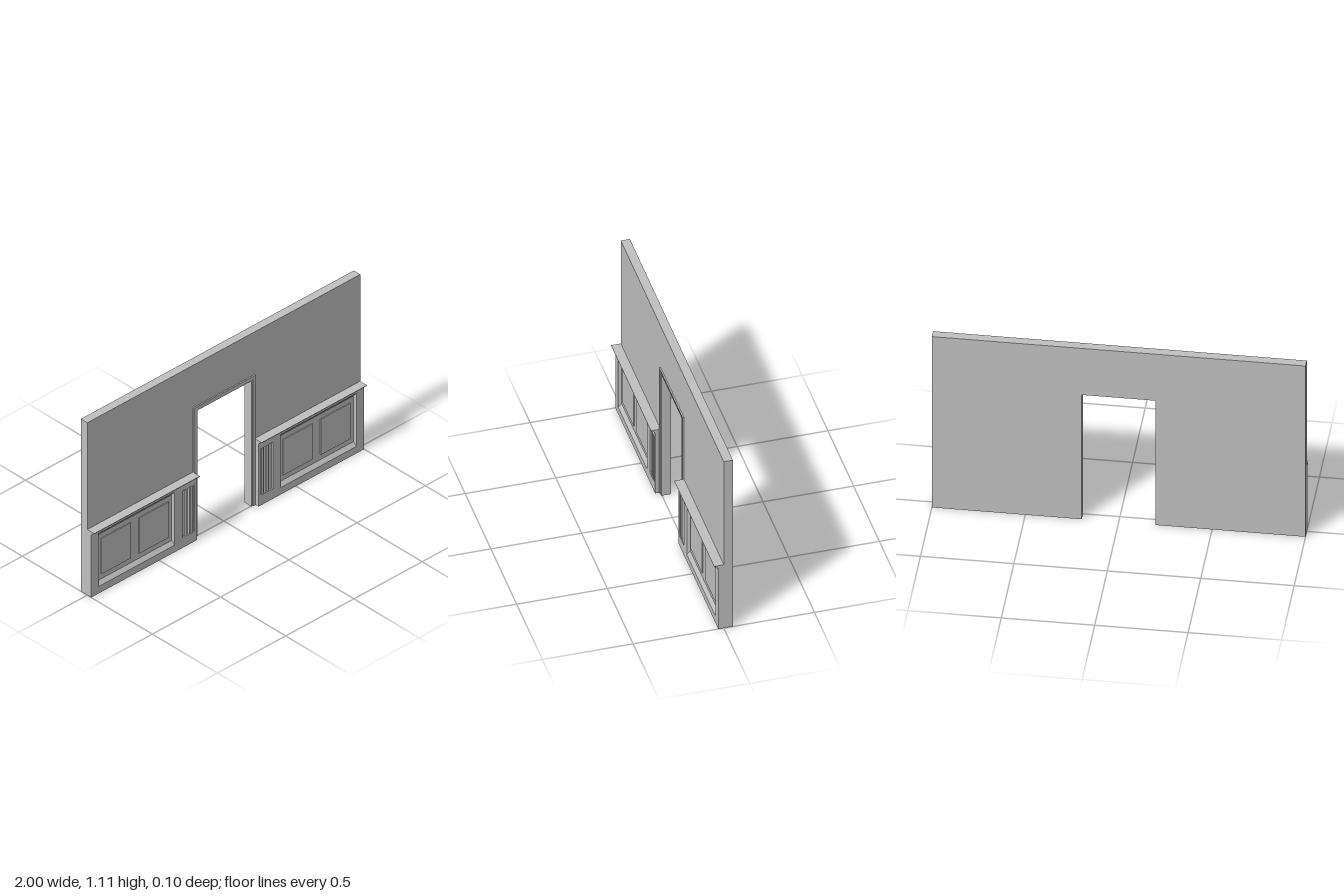
import * as THREE from 'three';

const plaster = new THREE.MeshStandardMaterial({ color: 0xc0c0c0 });
plaster.name = 'plaster grey';

function add(group, name, geometry) {
  const mesh = new THREE.Mesh(geometry, plaster);
  mesh.name = name;
  group.add(mesh);
}

// Box given by its limits on each axis
function block(x0, x1, y0, y1, z0, z1) {
  return new THREE.BoxGeometry(x1 - x0, y1 - y0, z1 - z0)
    .translate((x0 + x1) / 2, (y0 + y1) / 2, (z0 + z1) / 2);
}

const polygon = (points) => points.map(([x, y]) => new THREE.Vector2(x, y));
const rectangle = (x0, x1, y0, y1) => polygon([[x0, y0], [x1, y0], [x1, y1], [x0, y1]]);

function slab(points, z0, z1, holes = []) {
  const shape = new THREE.Shape(points);
  holes.forEach((h) => shape.holes.push(new THREE.Path(h)));
  return new THREE.ExtrudeGeometry(shape, { depth: z1 - z0, bevelEnabled: false }).translate(0, 0, z0);
}

// Door-shaped outline: an upside-down U around the opening
function archOutline(inner, innerTop, outer, outerTop) {
  return polygon([
    [-outer, 0], [-inner, 0], [-inner, innerTop], [inner, innerTop],
    [inner, 0], [outer, 0], [outer, outerTop], [-outer, outerTop],
  ]);
}

// Sloping picture-frame strip from a front rectangle back to a smaller one
function slopedFrame(x0, x1, y0, y1, z, insetX, insetY, depth) {
  const front = [[x0, y0, z], [x1, y0, z], [x1, y1, z], [x0, y1, z]];
  const back = [
    [x0 + insetX, y0 + insetY, z - depth], [x1 - insetX, y0 + insetY, z - depth],
    [x1 - insetX, y1 - insetY, z - depth], [x0 + insetX, y1 - insetY, z - depth],
  ];
  const positions = [];
  for (let i = 0; i < 4; i++) {
    const j = (i + 1) % 4;
    positions.push(...front[i], ...front[j], ...back[j], ...front[i], ...back[j], ...back[i]);
  }
  const geometry = new THREE.BufferGeometry();
  geometry.setAttribute('position', new THREE.Float32BufferAttribute(positions, 3));
  geometry.computeVertexNormals();
  return geometry;
}

function wainscot(side) {
  const group = new THREE.Group();
  group.name = side > 0 ? 'leftWainscot' : 'rightWainscot';
  // Limits measured outwards from the doorway, flipped for the other side
  const span = (a, b) => (side > 0 ? [a, b] : [-b, -a]);
  const [x0, x1] = span(0.226, 1);
  const recess = [...span(0.388, 0.945), 0.045, 0.388];
  const reeded = [...span(0.243, 0.33), 0.065, 0.365];
  const backZ = 0.012, faceZ = 0.03;

  add(group, 'wainscotBacking', block(x0, x1, 0, 0.41, 0, backZ));
  add(group, 'wainscotFrame', slab(rectangle(x0, x1, 0, 0.41), backZ, faceZ,
    [rectangle(...recess), rectangle(...reeded)]));
  add(group, 'recessMoulding', slopedFrame(...recess, faceZ, 0.006, 0.024, faceZ - backZ));

  // Two raised panels in the wide recess
  for (const [a, b] of [[0.418, 0.635], [0.695, 0.912]]) {
    add(group, 'raisedPanel', block(...span(a, b), 0.102, 0.332, backZ, backZ + 0.005));
  }

  // Upright reeds in the narrow recess beside the door
  add(group, 'reedBacking', block(...reeded, backZ, 0.022));
  for (const x of [0.26, 0.28, 0.3]) {
    add(group, 'reed', new THREE.CylinderGeometry(0.006, 0.006, 0.3, 12)
      .translate(side * x, 0.215, 0.023));
  }

  // Projecting rail with a small cove under its lip
  const profile = polygon([
    [0, 0.405], [0.034, 0.405], [0.036, 0.411], [0.041, 0.413],
    [0.043, 0.418], [0.053, 0.42], [0.053, 0.424], [0, 0.424],
  ]);
  add(group, 'chairRail', slab(profile, 0, x1 - x0).rotateY(-Math.PI / 2).translate(x1, 0, 0));
  return group;
}

export function createModel() {
  const model = new THREE.Group();
  model.name = 'panelledWallWithDoorway';

  // Main wall with the door opening
  add(model, 'wall', slab(polygon([
    [-1, 0], [-0.198, 0], [-0.198, 0.81], [0.198, 0.81],
    [0.198, 0], [1, 0], [1, 1.113], [-1, 1.113],
  ]), -0.05, 0));

  // Stepped architrave around the opening
  const architrave = new THREE.Group();
  architrave.name = 'architrave';
  add(architrave, 'innerBand', slab(archOutline(0.198, 0.81, 0.207, 0.819), 0, 0.004));
  add(architrave, 'middleBand', slab(archOutline(0.207, 0.819, 0.218, 0.83), 0, 0.006));
  add(architrave, 'outerBand', slab(archOutline(0.218, 0.83, 0.226, 0.838), 0, 0.008));
  model.add(architrave);

  model.add(wainscot(1), wainscot(-1));
  return model;
}
